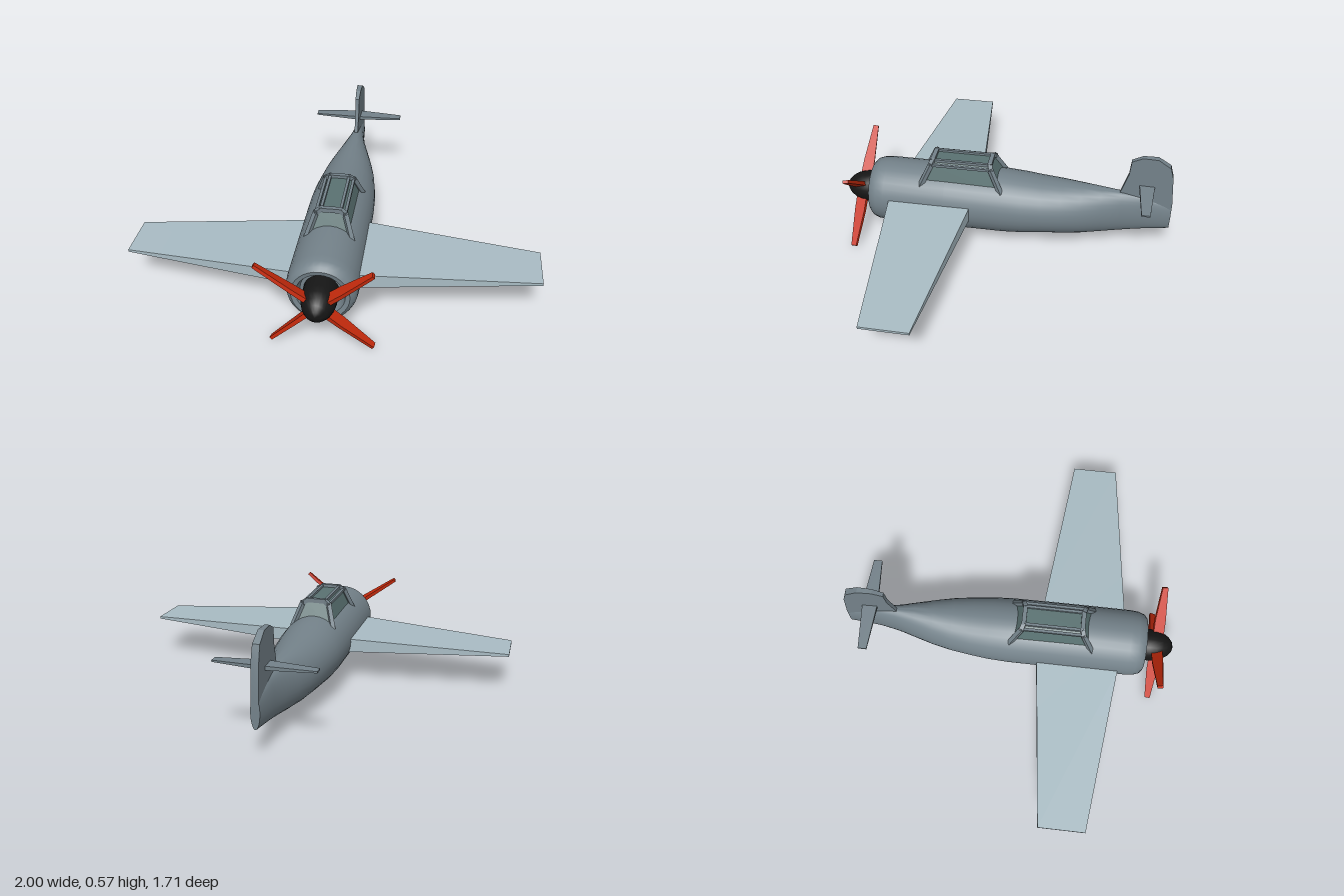
import * as THREE from 'three';
import { toCreasedNormals } from 'three/addons/utils/BufferGeometryUtils.js';

const paint = (color) => new THREE.MeshStandardMaterial({ color });
const MAT = {
  body: paint(0x74828a),
  wing: paint(0xa9bcc4),
  glass: paint(0x5a7272),
  black: paint(0x161616),
  red: paint(0xc42a0c),
};
const CX = -0.007; // fuselage axis
const CY = 0.232;

// Skin over matching rings of [x, y, z], closed at both ends.
// Rings run counter-clockwise as seen from the far end.
function loft(rings, crease = 0.5) {
  const n = rings[0].length;
  const pos = rings.flat(2);
  const index = [];
  for (let i = 0; i < rings.length - 1; i++) {
    for (let j = 0; j < n; j++) {
      const k = (j + 1) % n;
      const a = i * n + j, b = i * n + k;
      index.push(a, b, b + n, a, b + n, a + n);
    }
  }
  const last = (rings.length - 1) * n;
  for (const [ring, start, flip] of [[rings[0], 0, true], [rings[rings.length - 1], last, false]]) {
    const c = pos.length / 3;
    for (let d = 0; d < 3; d++) pos.push(ring.reduce((s, p) => s + p[d], 0) / n);
    for (let j = 0; j < n; j++) {
      const a = start + j, b = start + (j + 1) % n;
      if (flip) index.push(c, b, a); else index.push(c, a, b);
    }
  }
  const g = new THREE.BufferGeometry();
  g.setAttribute('position', new THREE.Float32BufferAttribute(pos, 3));
  g.setIndex(index);
  return toCreasedNormals(g, crease);
}

function add(parent, name, geometry, material) {
  const mesh = new THREE.Mesh(geometry, material);
  mesh.name = name;
  parent.add(mesh);
  return mesh;
}

// Rectangular section at x, height h and depth from z0 to z1
const rect = (x, y, h, z0, z1) => [
  [x, y - h / 2, z0], [x, y + h / 2, z0], [x, y + h / 2, z1], [x, y - h / 2, z1],
];

const ellipse = ([z, bottom, top, rx], n = 32) => Array.from({ length: n }, (_, i) => {
  const a = (i / n) * Math.PI * 2;
  return [CX + rx * Math.cos(a), (top + bottom) / 2 + (top - bottom) / 2 * Math.sin(a), z];
});

function addFuselage(plane) {
  // z, bottom, top, half width; the last ones fold back into the cowling mouth
  const stations = [
    [-0.855, 0.154, 0.315, 0.022], [-0.7, 0.13, 0.345, 0.034], [-0.6, 0.113, 0.358, 0.055],
    [-0.5, 0.098, 0.365, 0.085], [-0.4, 0.087, 0.37, 0.115], [-0.3, 0.083, 0.375, 0.138],
    [-0.2, 0.078, 0.38, 0.153], [-0.1, 0.068, 0.39, 0.164], [0, 0.062, 0.398, 0.169],
    [0.3, 0.062, 0.402, 0.17], [0.62, 0.062, 0.402, 0.17], [0.66, 0.066, 0.398, 0.166],
    [0.69, 0.077, 0.387, 0.155], [0.705, 0.095, 0.369, 0.137],
    [0.7, 0.117, 0.347, 0.115], [0.66, 0.132, 0.332, 0.1],
  ];
  add(plane, 'fuselage', loft(stations.map((s) => ellipse(s)), 0.7), MAT.body);
}

function addWings(plane) {
  for (const side of [-1, 1]) {
    const label = side > 0 ? 'left' : 'right';
    const y = 0.224 + side * 0.012;
    const yaw = side * 0.005;
    const wing = [
      rect(side * 0.1, y, 0.078, 0.155 + yaw, 0.59 + yaw),
      rect(side * 0.17, y, 0.072, 0.16 + yaw, 0.58 + yaw),
      rect(side, y - 0.002, 0.012, 0.249 + yaw, 0.484 + yaw),
    ];
    const stabilizer = [
      rect(CX, 0.404, 0.02, -0.76, -0.682),
      rect(CX + side * 0.243, 0.404, 0.008, -0.742, -0.699),
    ];
    // sections always run towards +x
    if (side < 0) { wing.reverse(); stabilizer.reverse(); }
    add(plane, label + 'Wing', loft(wing, 0.3), MAT.wing);
    add(plane, label + 'Stabilizer', loft(stabilizer, 0.3), MAT.body);
  }
}

function addFin(plane) {
  // z, y outline from the rear foot up and over to the front foot
  const outline = [
    [-0.856, 0.22], [-0.856, 0.315], [-0.842, 0.475], [-0.825, 0.535], [-0.76, 0.577],
    [-0.685, 0.577], [-0.632, 0.55], [-0.625, 0.47], [-0.59, 0.355], [-0.6, 0.3],
  ];
  // thicker towards the rear
  const half = (z) => 0.009 + (-0.59 - z) * 0.035;
  const face = (s) => outline.map(([z, y]) => [CX + s * half(z), y, z]);
  add(plane, 'tailFin', loft([face(-1), face(1)], 0.3), MAT.body);
}

function addCanopy(plane) {
  const canopy = new THREE.Group();
  canopy.name = 'canopy';
  plane.add(canopy);
  const frontZ = (y) => 0.43 - (y - 0.365) * 0.47;
  const rearZ = (y) => 0.018 + (y - 0.39) * 0.5;
  // half section, from the right foot over the top to the left foot
  const section = [[-0.107, 0.35], [-0.07, 0.459], [-0.047, 0.474], [0.047, 0.474], [0.07, 0.459], [0.107, 0.35]];
  const arch = (zAt, inset, shift) => section.map(([x, y]) =>
    [CX + x * (1 - inset), y - inset * 0.08, zAt(y) + shift]);

  // glass, set slightly inside the frame
  const ccw = (ring) => ring.slice().reverse();
  const glass = loft([ccw(arch(rearZ, 0.06, 0.012)), ccw(arch(frontZ, 0.06, -0.012))], 0.1);
  add(canopy, 'canopyGlass', glass, MAT.glass);

  // square bar from a to b
  const bar = (a, b, w) => {
    const p = new THREE.Vector3(...a), q = new THREE.Vector3(...b);
    const mesh = add(canopy, 'canopyFrame', new THREE.BoxGeometry(w, w, p.distanceTo(q) + w * 0.6), MAT.body);
    mesh.position.copy(p).lerp(q, 0.5);
    mesh.lookAt(q);
  };
  const front = arch(frontZ, 0, -0.012);
  const rear = arch(rearZ, 0, 0.012);
  for (const hoop of [front, rear]) {
    for (let i = 0; i < hoop.length - 1; i++) bar(hoop[i], hoop[i + 1], 0.022);
  }
  for (const i of [1, 2, 3, 4]) bar(front[i], rear[i], 0.014);
}

function addPropeller(plane) {
  const propeller = new THREE.Group();
  propeller.name = 'propeller';
  propeller.position.set(CX, CY, 0);
  plane.add(propeller);

  const profile = [
    [0, 0.655], [0.083, 0.66], [0.083, 0.73], [0.079, 0.765], [0.068, 0.8],
    [0.05, 0.828], [0.026, 0.848], [0, 0.855],
  ].map(([r, z]) => new THREE.Vector2(r, z));
  const spinner = toCreasedNormals(new THREE.LatheGeometry(profile, 24).rotateX(Math.PI / 2), 0.6);
  add(propeller, 'spinner', spinner, MAT.black);

  for (const [degrees, length] of [[39, 0.318], [145, 0.345], [225, 0.312], [320, 0.333]]) {
    const blade = loft([
      rect(0.04, 0, 0.024, -0.028, 0.028),
      rect(0.14, 0, 0.02, -0.029, 0.027),
      rect(length, 0, 0.016, -0.014, 0.014),
    ], 0.3).rotateX(0.2);
    const mesh = add(propeller, 'blade', blade, MAT.red);
    mesh.position.z = 0.77;
    mesh.rotation.z = THREE.MathUtils.degToRad(degrees);
  }
}

export function createModel() {
  const plane = new THREE.Group();
  plane.name = 'airplane';
  addFuselage(plane);
  addWings(plane);
  addFin(plane);
  addCanopy(plane);
  addPropeller(plane);
  return plane;
}
